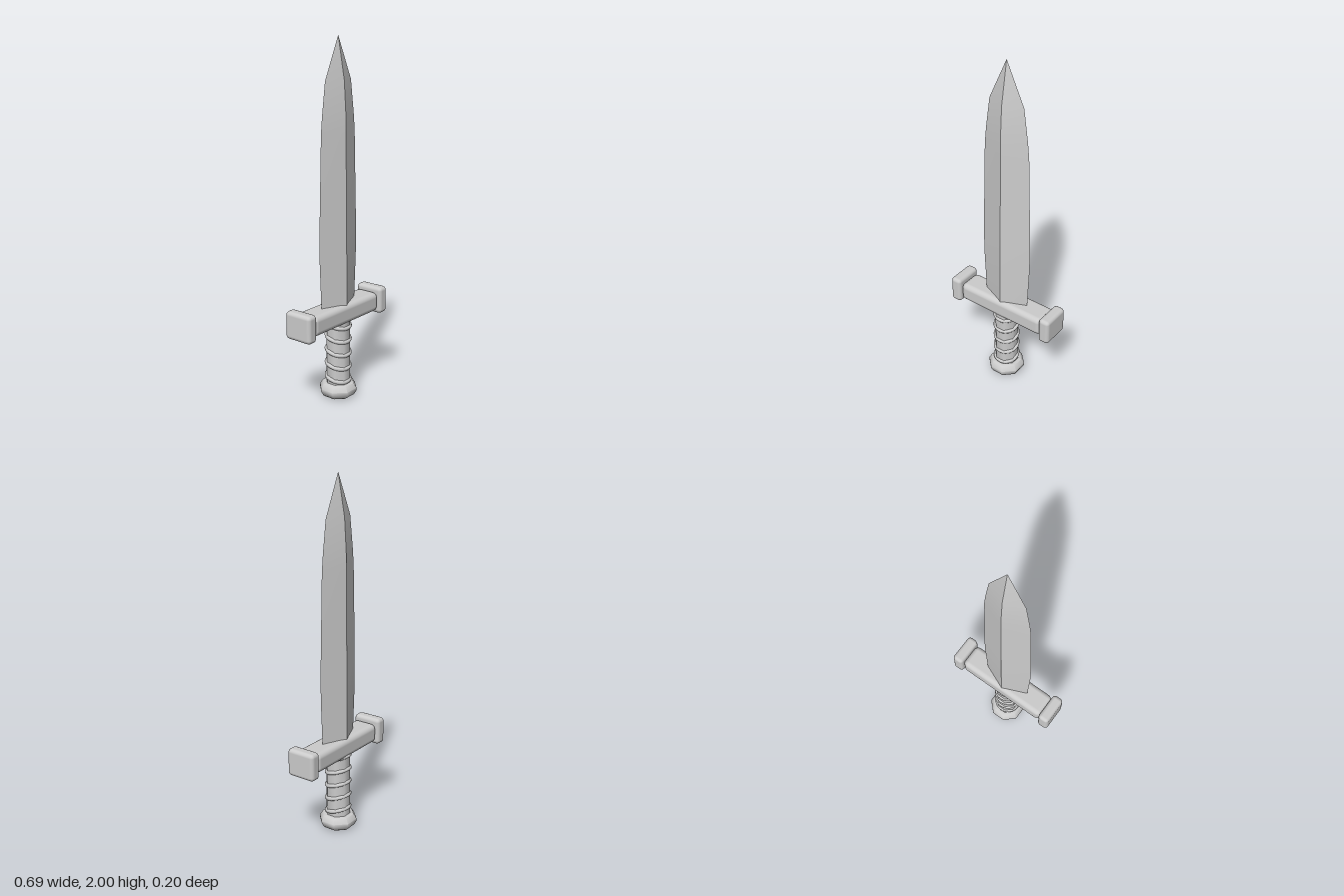
import * as THREE from 'three';
import { RoundedBoxGeometry } from 'three/addons/geometries/RoundedBoxGeometry.js';
import { toCreasedNormals } from 'three/addons/utils/BufferGeometryUtils.js';

const steel = new THREE.MeshStandardMaterial({ color: 0xcccccc });
steel.name = 'steel grey';

// Diamond cross-sections [y, half width, half depth] joined up to a point
function bladeGeometry() {
  const sections = [
    [0.5, 0.14, 0.061], [0.57, 0.145, 0.061], [0.82, 0.157, 0.06], [1.0, 0.156, 0.058],
    [1.5, 0.141, 0.053], [1.59, 0.132, 0.052], [1.77, 0.107, 0.041], [2, 0, 0],
  ];
  const corners = sections.map(([y, w, d]) => [[w, y, 0], [0, y, d], [-w, y, 0], [0, y, -d]]);
  const positions = [];
  for (let i = 0; i < corners.length - 1; i++) {
    for (let j = 0; j < 4; j++) {
      const k = (j + 1) % 4;
      const [a, b, c, d] = [corners[i][j], corners[i][k], corners[i + 1][j], corners[i + 1][k]];
      positions.push(...a, ...c, ...b);
      if (i < corners.length - 2) positions.push(...b, ...c, ...d);
    }
  }
  const [p, q, r, s] = corners[0];
  positions.push(...p, ...q, ...r, ...p, ...r, ...s);
  const geometry = new THREE.BufferGeometry();
  geometry.setAttribute('position', new THREE.Float32BufferAttribute(positions, 3));
  return toCreasedNormals(geometry, 0.35);
}

// Eight-sided turned part with flats facing front and sides; radii are measured to the flats
function turned(profile, crease) {
  const points = profile.map(([r, y]) => new THREE.Vector2(r / Math.cos(Math.PI / 8), y));
  const geometry = new THREE.LatheGeometry(points, 8, Math.PI / 8);
  return toCreasedNormals(geometry, crease);
}

export function createModel() {
  const group = new THREE.Group();
  group.name = 'dagger';
  const add = (name, geometry, x = 0, y = 0, z = 0) => {
    const mesh = new THREE.Mesh(geometry, steel);
    mesh.name = name;
    mesh.position.set(x, y, z);
    group.add(mesh);
    return mesh;
  };

  add('blade', bladeGeometry());

  // Crossguard with a block on each end
  add('guardBar', new RoundedBoxGeometry(0.56, 0.112, 0.146, 3, 0.03), 0, 0.495, 0);
  for (const side of [-1, 1]) {
    add(side > 0 ? 'leftGuardEnd' : 'rightGuardEnd',
      new RoundedBoxGeometry(0.068, 0.156, 0.172, 2, 0.022), side * 0.311, 0.498, 0);
  }

  // Grip with slanted wrap rings
  add('grip', turned([[0.064, 0.06], [0.064, 0.47]], 1));
  const wrap = new THREE.TorusGeometry(0.066, 0.012, 8, 24);
  wrap.rotateX(Math.PI / 2);
  for (let i = 0; i < 5; i++) {
    add('wrapRing' + (i + 1), wrap, 0, 0.11 + i * 0.08, 0).rotation.x = 0.25;
  }

  // Pommel
  add('pommel', turned([
    [0, 0], [0.075, 0.002], [0.088, 0.012], [0.1, 0.036], [0.1, 0.05], [0.084, 0.078], [0.062, 0.082], [0, 0.082],
  ], 0.9));

  return group;
}
